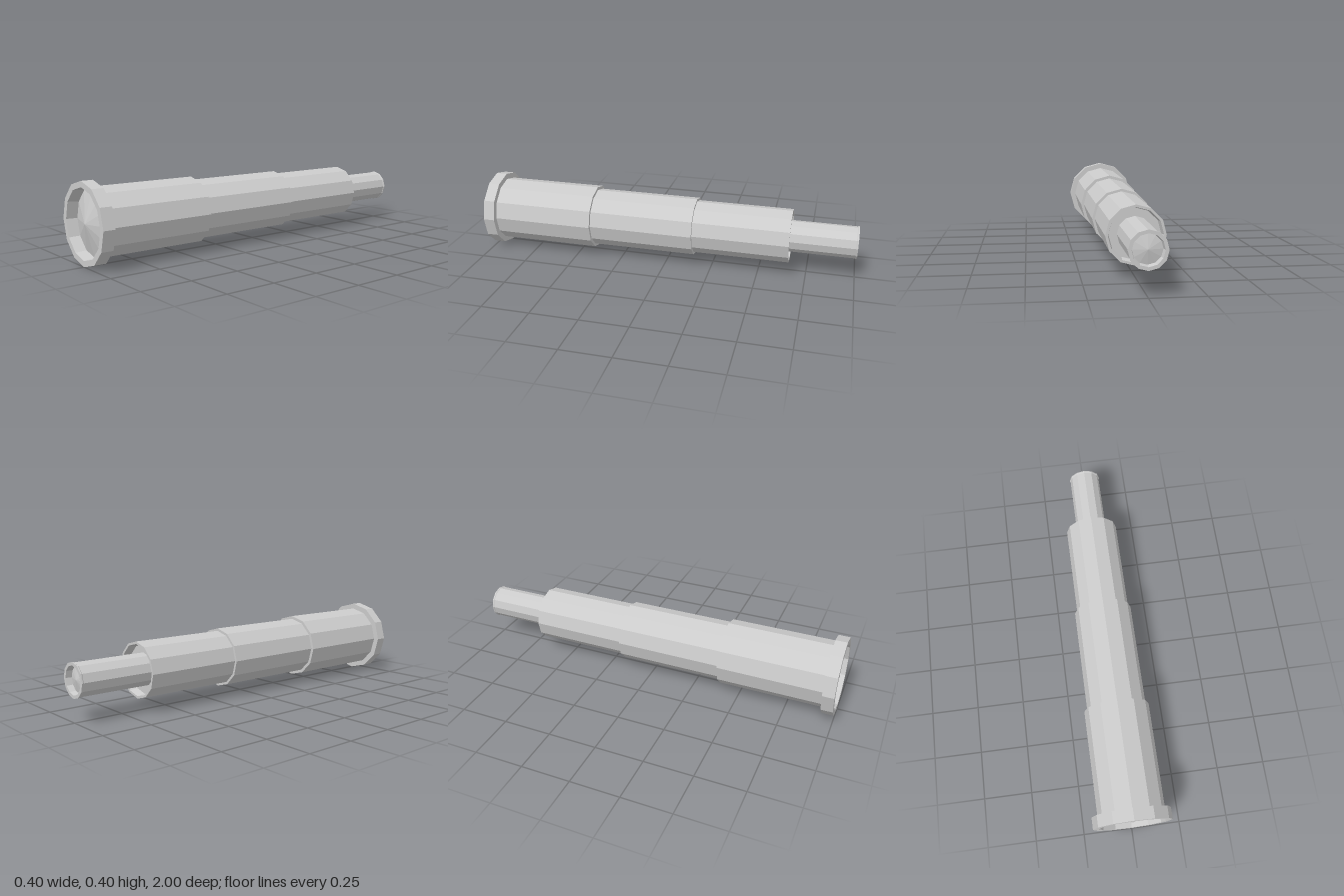
import * as THREE from 'three';

const SIDES = 12;
const AXIS_HEIGHT = 0.2;

export function createModel() {
  const model = new THREE.Group();
  model.name = 'spyglass';
  const material = new THREE.MeshStandardMaterial({ color: 0xcccccc, flatShading: true });

  // Turn a [radius, z] profile, listed from back to front, around the long axis.
  const turned = (name, profile) => {
    const points = profile.map(([r, z]) => new THREE.Vector2(r, z));
    const geometry = new THREE.LatheGeometry(points, SIDES).rotateX(Math.PI / 2);
    const mesh = new THREE.Mesh(geometry, material);
    mesh.name = name;
    mesh.position.y = AXIS_HEIGHT;
    model.add(mesh);
  };

  // Front collar with a slightly tapered bore
  turned('frontCollar', [[0.168, 0.94], [0.2, 0.94], [0.2, 1], [0.171, 1], [0.165, 0.945]]);

  // Domed front lens, set back inside the collar
  turned('frontLens', [[0.166, 0.945], [0, 0.99]]);

  // Telescoping tubes, each sliding into the one in front of it
  turned('largeTube', [[0.15, 0.4], [0.17, 0.4], [0.17, 0.945]]);
  turned('middleTube', [[0.138, -0.155], [0.154, -0.155], [0.154, 0.41]]);

  // Rear tube with an open rim and a recessed floor around the eyepiece
  turned('smallTube', [
    [0.07, -0.62], [0.122, -0.62], [0.129, -0.66], [0.141, -0.66], [0.141, -0.145],
  ]);

  // Eyepiece with a small lip and a hollow end
  turned('eyepiece', [
    [0.066, -0.97], [0.07, -1], [0.086, -1], [0.086, -0.994], [0.083, -0.99], [0.083, -0.61],
  ]);

  // Domed rear lens inside the eyepiece
  turned('rearLens', [[0, -0.985], [0.067, -0.97]]);

  return model;
}
